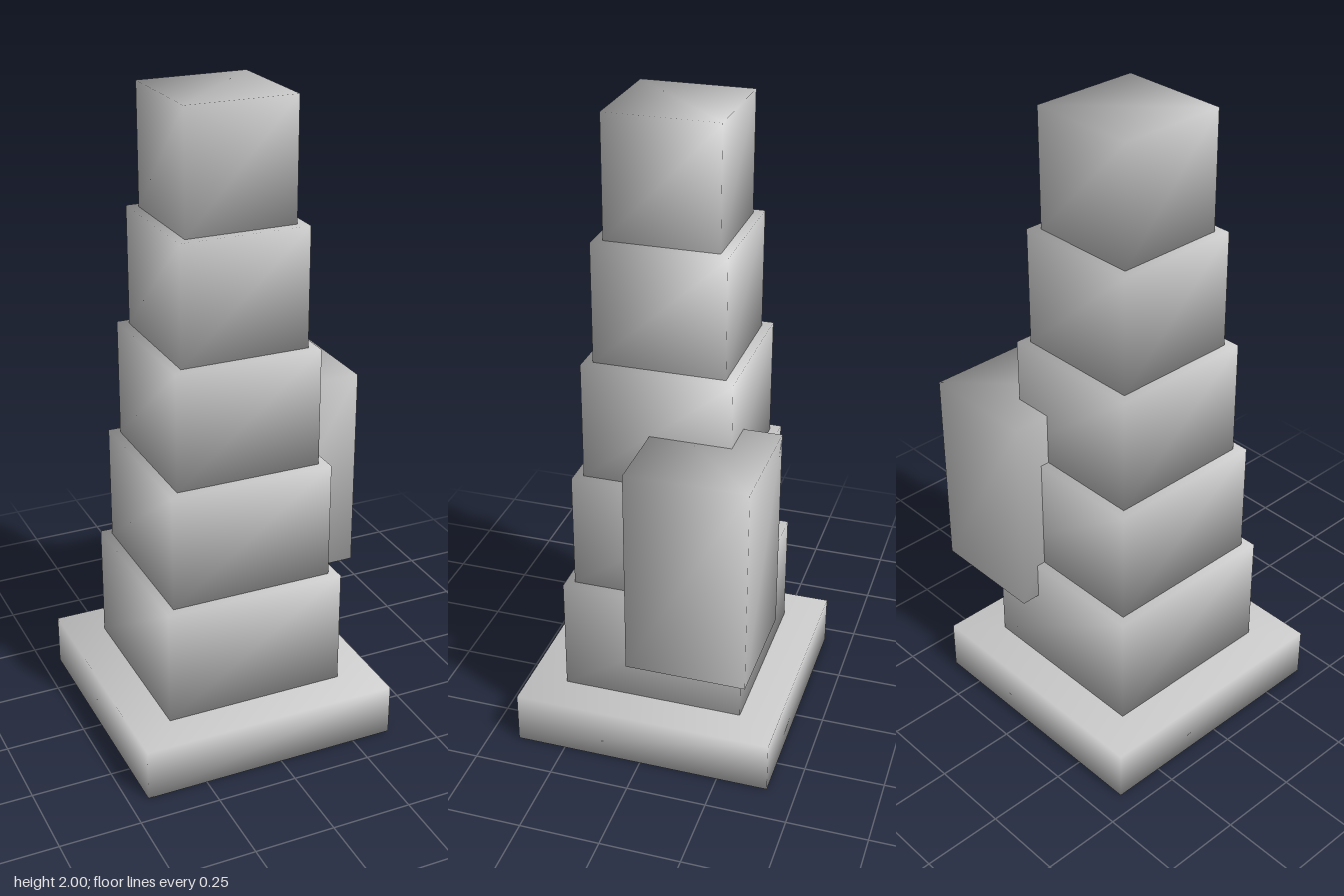
import * as THREE from 'three';
import { mergeVertices } from 'three/addons/utils/BufferGeometryUtils.js';

const material = new THREE.MeshStandardMaterial({ color: 0xcccccc });

// Box with welded corners, so the shading runs smoothly over its edges
function softBox(name, width, bottom, top, x, z) {
  let geometry = new THREE.BoxGeometry(width, top - bottom, width);
  geometry.deleteAttribute('normal');
  geometry.deleteAttribute('uv');
  geometry = mergeVertices(geometry);
  geometry.computeVertexNormals();
  const mesh = new THREE.Mesh(geometry, material);
  mesh.name = name;
  mesh.position.set(x, (bottom + top) / 2, z);
  return mesh;
}

export function createModel() {
  const model = new THREE.Group();
  model.name = 'steppedTower';
  const axisX = -0.0315, axisZ = -0.002;

  // Square base slab
  const baseTop = 0.163;
  model.add(softBox('base', 0.816, 0, baseTop, axisX, axisZ));

  // Five stacked tiers, each narrower than the one below
  const tiers = 5, tierHeight = (2 - baseTop) / tiers;
  for (let i = 0; i < tiers; i++) {
    const bottom = baseTop + i * tierHeight;
    model.add(softBox(`tier${i + 1}`, 0.572 - i * 0.0572, bottom, bottom + tierHeight, axisX, axisZ));
  }

  // Block hanging from the back left corner
  model.add(softBox('sideBlock', 0.367, 0.412, 1.065, 0.2545, -0.165));

  return model;
}
